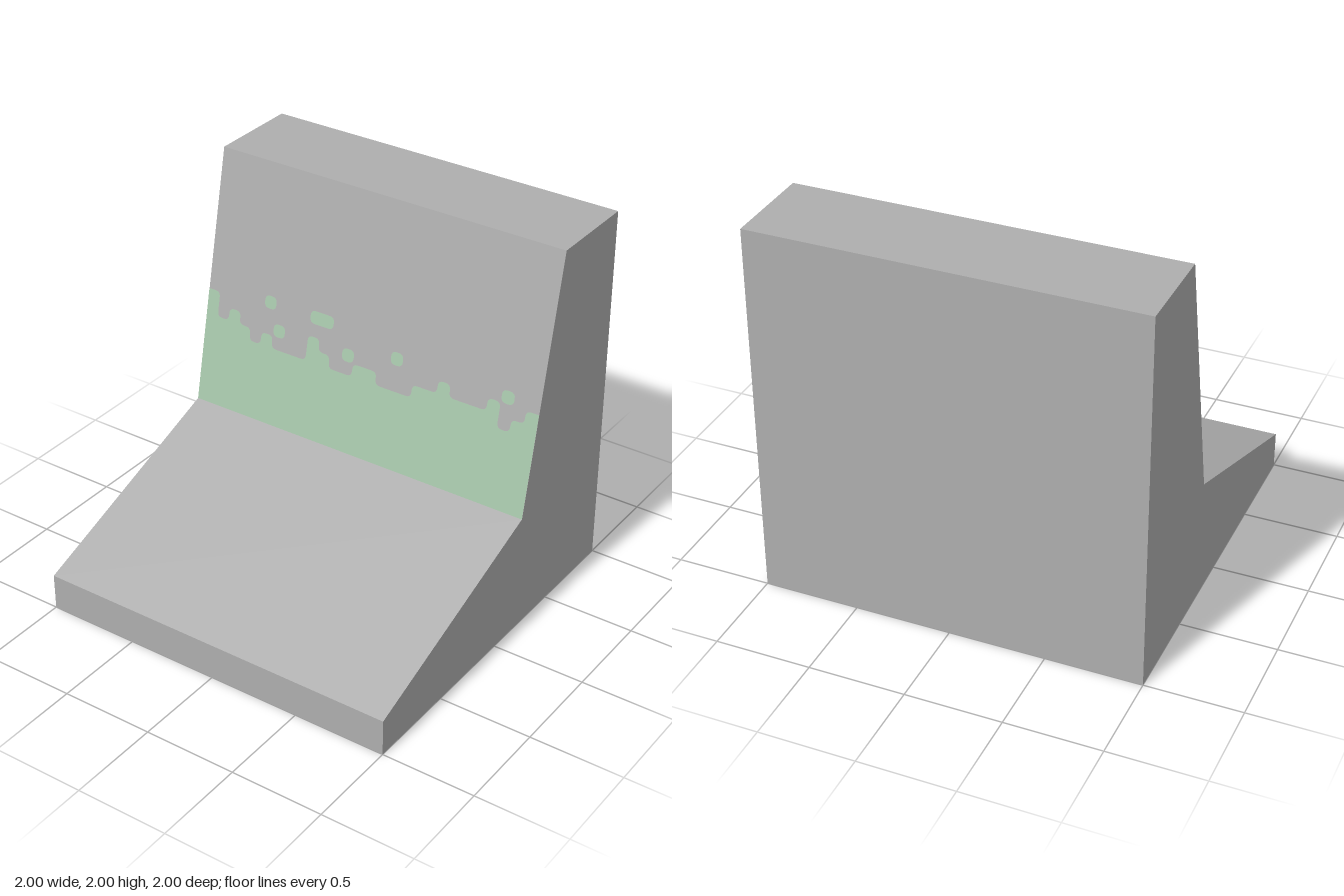
import * as THREE from 'three';

const BEND = { y: 0.643, z: -0.215 }; // where the ramp meets the wall
const TOP = { y: 2, z: -0.5 };
const CELL_W = 2 / 28, CELL_H = 0.0675, MOSS_Y = 1.05;

// Closed outline whose corners are softened; corners on the border stay sharp
function roundedShape(points, radius) {
  const shape = new THREE.Shape();
  const n = points.length;
  points.forEach((p, i) => {
    const sharp = Math.abs(p.x) > 0.999;
    const toward = (q) => p.clone().add(q.clone().sub(p).setLength(sharp ? 0 : radius));
    const a = toward(points[(i + n - 1) % n]);
    const b = toward(points[(i + 1) % n]);
    if (i === 0) shape.moveTo(a.x, a.y);
    else shape.lineTo(a.x, a.y);
    if (!sharp) shape.quadraticCurveTo(p.x, p.y, b.x, b.y);
  });
  shape.closePath();
  return shape;
}

// Flat shape laid just in front of the leaning wall
function onWall(shape) {
  const geo = new THREE.ShapeGeometry(shape, 4);
  const pos = geo.attributes.position;
  const slope = (TOP.z - BEND.z) / (TOP.y - BEND.y);
  for (let i = 0; i < pos.count; i++) {
    pos.setZ(i, BEND.z + (pos.getY(i) - BEND.y) * slope + 0.002);
  }
  geo.computeVertexNormals();
  return geo;
}

export function createModel() {
  const group = new THREE.Group();
  const concrete = new THREE.MeshStandardMaterial({ color: 0xaeaeae });
  concrete.name = 'concrete grey';
  const underside = new THREE.MeshStandardMaterial({ color: 0xdcd8d1 });
  underside.name = 'pale underside';
  const green = new THREE.MeshStandardMaterial({ color: 0xa6c6aa });
  green.name = 'moss green';

  const add = (name, geo, mat) => {
    const mesh = new THREE.Mesh(geo, mat);
    mesh.name = name;
    group.add(mesh);
  };

  // Barrier block: side profile (z, y) extruded across x
  const profile = new THREE.Shape([
    [-1, 0], [1, 0], [1, 0.197], [BEND.z, BEND.y], [TOP.z, TOP.y], [-1, 2],
  ].map(([z, y]) => new THREE.Vector2(z, y)));
  const block = new THREE.ExtrudeGeometry(profile, { depth: 2, bevelEnabled: false });
  block.rotateY(-Math.PI / 2);
  block.translate(1, 0, 0);

  // Downward faces take the pale underside colour
  block.clearGroups();
  const normal = block.attributes.normal;
  for (let i = 0; i < normal.count; i += 3) {
    block.addGroup(i, 3, normal.getY(i) < -0.9 ? 1 : 0);
  }
  add('barrierBlock', block, [concrete, underside]);

  // Moss band: stepped upper edge, one height per column
  const steps = '3121010002100110001121112012';
  const outline = [new THREE.Vector2(1, BEND.y)];
  for (let i = steps.length - 1; i >= 0; i--) {
    const y = MOSS_Y + CELL_H * Number(steps[i]);
    if (steps[i] !== steps[i + 1]) outline.push(new THREE.Vector2(-1 + (i + 1) * CELL_W, y));
    if (steps[i] !== steps[i - 1]) outline.push(new THREE.Vector2(-1 + i * CELL_W, y));
  }
  outline.push(new THREE.Vector2(-1, BEND.y));
  add('mossBand', onWall(roundedShape(outline, 0.029)), green);

  // Loose moss spots: column, row, width in cells
  [[6, 1, 1], [12, 1, 1], [5, 3, 1], [9, 3, 2], [16, 2, 1], [25, 2, 1]].forEach(([c, r, w]) => {
    const x0 = -1 + c * CELL_W, x1 = x0 + w * CELL_W;
    const y0 = MOSS_Y + r * CELL_H, y1 = y0 + CELL_H;
    const corners = [[x0, y0], [x1, y0], [x1, y1], [x0, y1]];
    const spot = roundedShape(corners.map(([x, y]) => new THREE.Vector2(x, y)), 0.029);
    add('mossSpot', onWall(spot), green);
  });

  return group;
}
